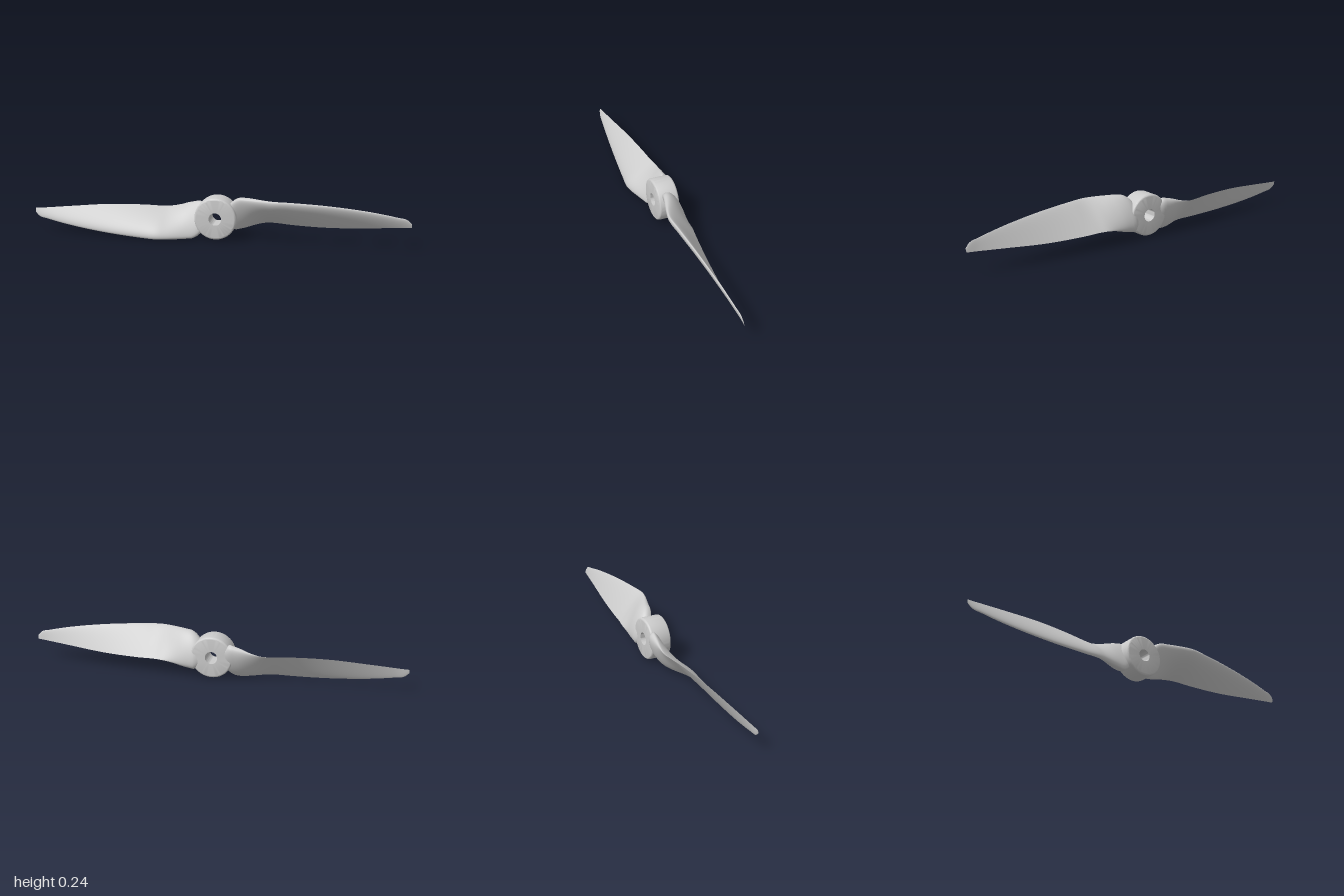
import * as THREE from 'three';
import { toCreasedNormals } from 'three/addons/utils/BufferGeometryUtils.js';

const AXIS_Y = 0.12;

// Blade stations: x, leading edge y z, trailing edge y z, front bulge, back bulge, fullness
const STATIONS = [
  [0.07, 0.192, 0.000, 0.062, -0.052, 0.022, 0.036, 1.0],
  [0.09, 0.212, 0.012, 0.047, -0.060, 0.022, 0.045, 1.0],
  [0.12, 0.230, 0.022, 0.051, -0.064, 0.022, 0.045, 0.95],
  [0.16, 0.234, 0.032, 0.061, -0.070, 0.023, 0.040, 0.8],
  [0.20, 0.235, 0.044, 0.074, -0.075, 0.024, 0.030, 0.55],
  [0.26, 0.236, 0.061, 0.086, -0.078, 0.025, 0.015, 0.2],
  [0.31, 0.236, 0.070, 0.087, -0.071, 0.025, 0.009, 0.0],
  [0.40, 0.233, 0.063, 0.083, -0.061, 0.022, 0.007, 0.0],
  [0.60, 0.219, 0.044, 0.084, -0.040, 0.015, 0.005, 0.0],
  [0.80, 0.194, 0.024, 0.099, -0.020, 0.010, 0.003, 0.0],
  [0.93, 0.169, 0.011, 0.110, -0.008, 0.006, 0.002, 0.0],
  [0.98, 0.156, 0.006, 0.114, -0.004, 0.004, 0.002, 0.0],
  [1.00, 0.136, 0.003, 0.115, -0.002, 0.002, 0.001, 0.0],
];

// Airfoil half thickness along the chord, peak of 1
const airfoil = (c) =>
  2.969 * Math.sqrt(c) - 1.26 * c - 3.516 * c ** 2 + 2.843 * c ** 3 - 1.036 * c ** 4;

// Twisted blade lofted through interpolated airfoil sections
function bladeGeometry(rings = 90, sides = 48) {
  const size = STATIONS[0].length;
  const spline = new THREE.CubicInterpolant(
    STATIONS.map((s) => s[0]), STATIONS.flat(), size, new Float32Array(size));
  const positions = [], index = [], row = sides + 1;
  const x0 = STATIONS[0][0];

  for (let i = 0; i <= rings; i++) {
    const u = i / rings;
    // Closer rings towards the rounded tip
    const x = x0 + (1 - x0) * (u + 0.12 * Math.sin(Math.PI * u));
    const [, ly, lz, ty, tz, front, back, full] = spline.evaluate(Math.min(x, 1));
    const dy = ty - ly, dz = tz - lz, len = Math.hypot(dy, dz);
    for (let j = 0; j <= sides; j++) {
      const a = (j / sides) * Math.PI * 2;
      const c = (1 + Math.cos(a)) / 2;
      const oval = Math.pow(Math.abs(Math.sin(a)), 0.8);
      const f = THREE.MathUtils.lerp(airfoil(c), oval, THREE.MathUtils.clamp(full, 0, 1));
      const h = j <= sides / 2 ? front * f : -back * f;
      positions.push(
        Math.min(x, 1),
        ly + dy * c + (dz / len) * h - AXIS_Y,
        lz + dz * c - (dy / len) * h);
    }
  }
  for (let i = 0; i < rings; i++) {
    for (let j = 0; j < sides; j++) {
      const p = i * row + j, q = p + row;
      index.push(p, q, p + 1, q, q + 1, p + 1);
    }
  }
  // End caps with their own vertices
  for (const [ring, flip] of [[0, false], [rings, true]]) {
    const start = positions.length / 3;
    positions.push(...positions.slice(ring * row * 3, (ring + 1) * row * 3));
    for (let j = 1; j < sides - 1; j++) {
      if (flip) index.push(start, start + j + 1, start + j);
      else index.push(start, start + j, start + j + 1);
    }
  }
  const geometry = new THREE.BufferGeometry();
  geometry.setAttribute('position', new THREE.Float32BufferAttribute(positions, 3));
  geometry.setIndex(index);
  geometry.computeVertexNormals();
  return geometry;
}

// Round hub with filleted rims and a shaft hole
function hubGeometry(radius = 0.111, hole = 0.033, back = -0.071, front = 0.038, fillet = 0.012) {
  const profile = [new THREE.Vector2(hole, back)];
  const corner = (y, from) => {
    for (let k = 0; k <= 5; k++) {
      const a = from + (k / 5) * (Math.PI / 2);
      profile.push(new THREE.Vector2(
        radius - fillet + fillet * Math.cos(a), y + fillet * Math.sin(a)));
    }
  };
  corner(back + fillet, -Math.PI / 2);
  corner(front - fillet, 0);
  profile.push(new THREE.Vector2(hole, front), new THREE.Vector2(hole, back));
  return toCreasedNormals(new THREE.LatheGeometry(profile, 64).rotateX(Math.PI / 2), 0.6);
}

export function createModel() {
  const model = new THREE.Group();
  model.name = 'propeller';
  const material = new THREE.MeshStandardMaterial({ color: 0xcccccc });

  const hub = new THREE.Mesh(hubGeometry(), material);
  hub.name = 'hub';
  hub.position.y = AXIS_Y;
  model.add(hub);

  // Two blades, half a turn apart about the shaft
  const blade = bladeGeometry();
  ['leftBlade', 'rightBlade'].forEach((name, i) => {
    const mesh = new THREE.Mesh(blade, material);
    mesh.name = name;
    mesh.position.y = AXIS_Y;
    mesh.rotation.z = i * Math.PI;
    model.add(mesh);
  });
  return model;
}
